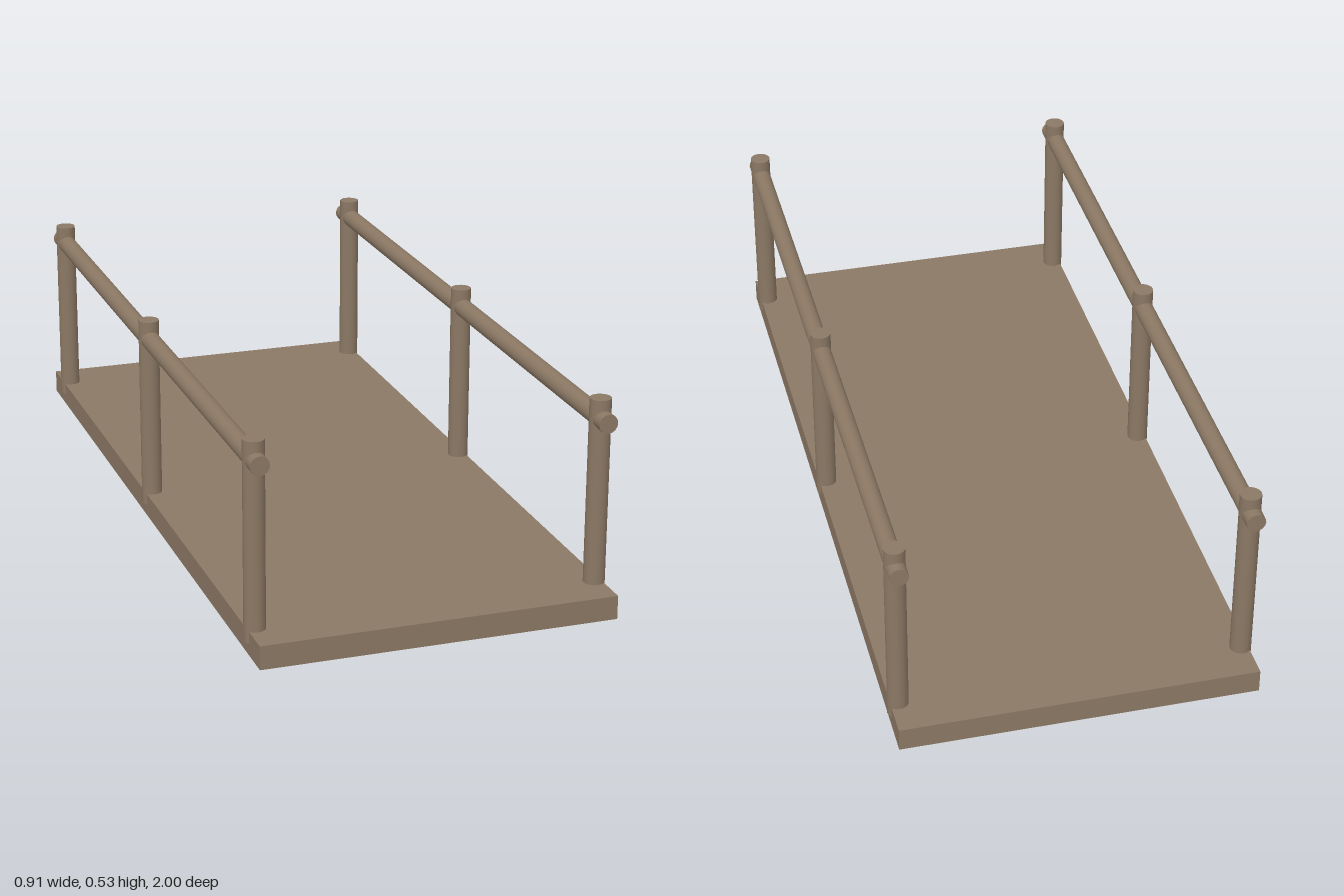
import * as THREE from 'three';

export function createModel() {
  const model = new THREE.Group();
  model.name = 'footbridge';
  const wood = new THREE.MeshStandardMaterial({ color: 0x8b7864 });

  const add = (parent, name, geometry, x, y, z) => {
    const mesh = new THREE.Mesh(geometry, wood);
    mesh.name = name;
    mesh.position.set(x, y, z);
    parent.add(mesh);
  };

  // Flat walking deck
  add(model, 'deck', new THREE.BoxGeometry(0.895, 0.06, 2), 0, 0.03, 0);

  // Round posts sunk into the deck edge, and a rail running through their tops
  const postGeometry = new THREE.CylinderGeometry(0.0265, 0.0265, 0.5, 16);
  const railGeometry = new THREE.CylinderGeometry(0.024, 0.024, 1.9, 16).rotateX(Math.PI / 2);

  for (const side of [1, -1]) {
    const railing = new THREE.Group();
    railing.name = side > 0 ? 'leftRailing' : 'rightRailing';
    railing.position.x = side * 0.4285;
    for (const [name, z] of [['frontPost', 0.9], ['middlePost', 0], ['backPost', -0.9]]) {
      add(railing, name, postGeometry, 0, 0.281, z);
    }
    add(railing, 'handrail', railGeometry, 0, 0.481, 0);
    model.add(railing);
  }
  return model;
}
